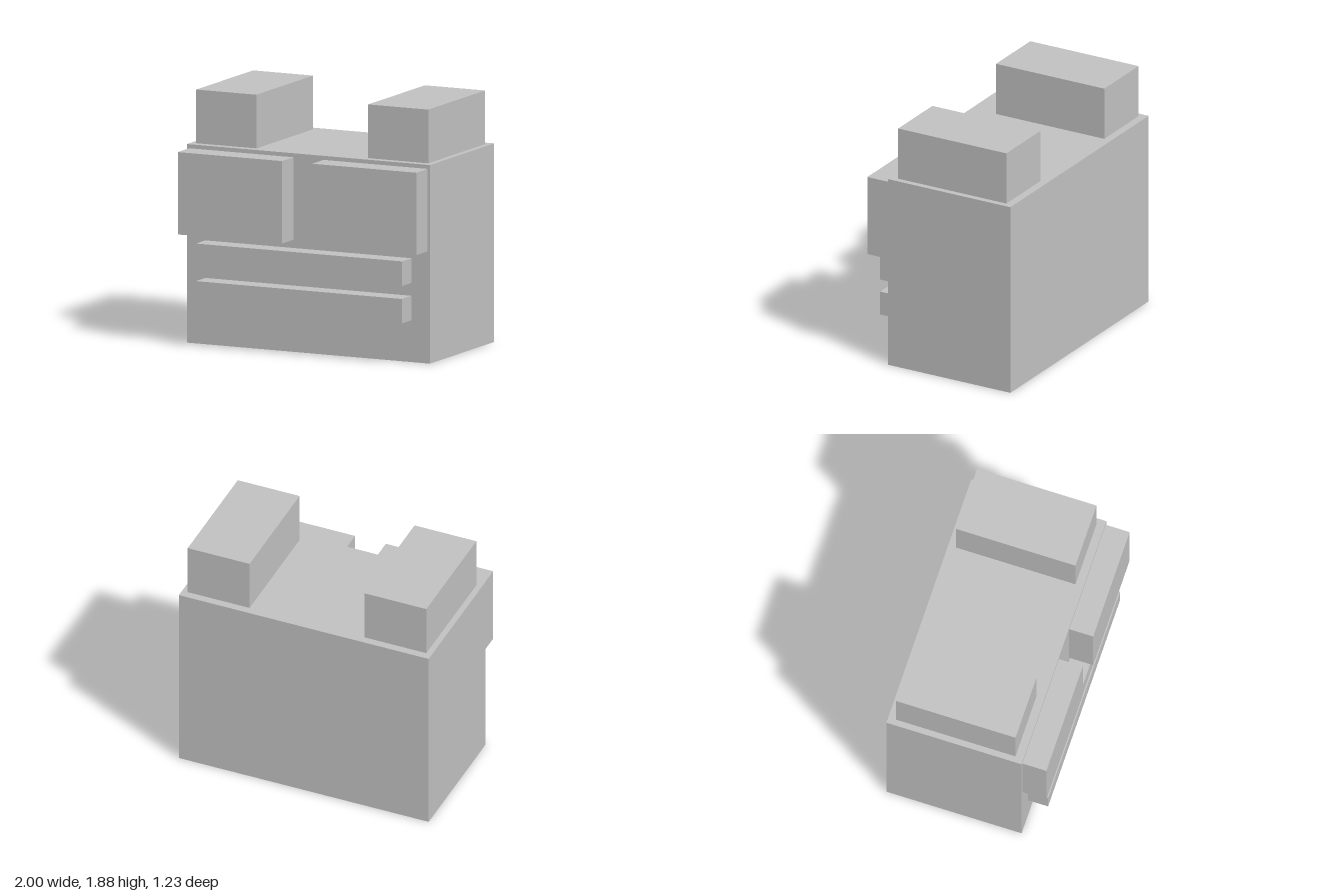
import * as THREE from 'three';

export function createModel() {
  const model = new THREE.Group();
  model.name = 'blockHead';
  const grey = new THREE.MeshStandardMaterial({ color: 0xc0c0c0 });
  grey.name = 'light grey';

  // Adds a box spanning the given [min, max] ranges
  function addBox(name, [x0, x1], [y0, y1], [z0, z1]) {
    const mesh = new THREE.Mesh(new THREE.BoxGeometry(x1 - x0, y1 - y0, z1 - z0), grey);
    mesh.position.set((x0 + x1) / 2, (y0 + y1) / 2, (z0 + z1) / 2);
    mesh.name = name;
    model.add(mesh);
  }

  const front = 0.43;
  addBox('head', [-1, 1], [0, 1.48], [-0.615, front]);

  // Ears on top and eyes on the front, mirrored left and right
  for (const [side, s] of [['left', 1], ['right', -1]]) {
    const mirror = (a, b) => (s > 0 ? [a, b] : [-b, -a]);
    addBox(side + 'Ear', mirror(0.46, 0.955), [1.48, 1.88], [-0.555, 0.368]);
    addBox(side + 'Eye', mirror(0.123, 0.982), [0.836, 1.45], [front, 0.615]);
  }

  // Two lips across the lower front
  addBox('upperLip', [-0.848, 0.848], [0.59, 0.774], [front, 0.585]);
  addBox('lowerLip', [-0.848, 0.848], [0.312, 0.494], [front, 0.585]);

  return model;
}
